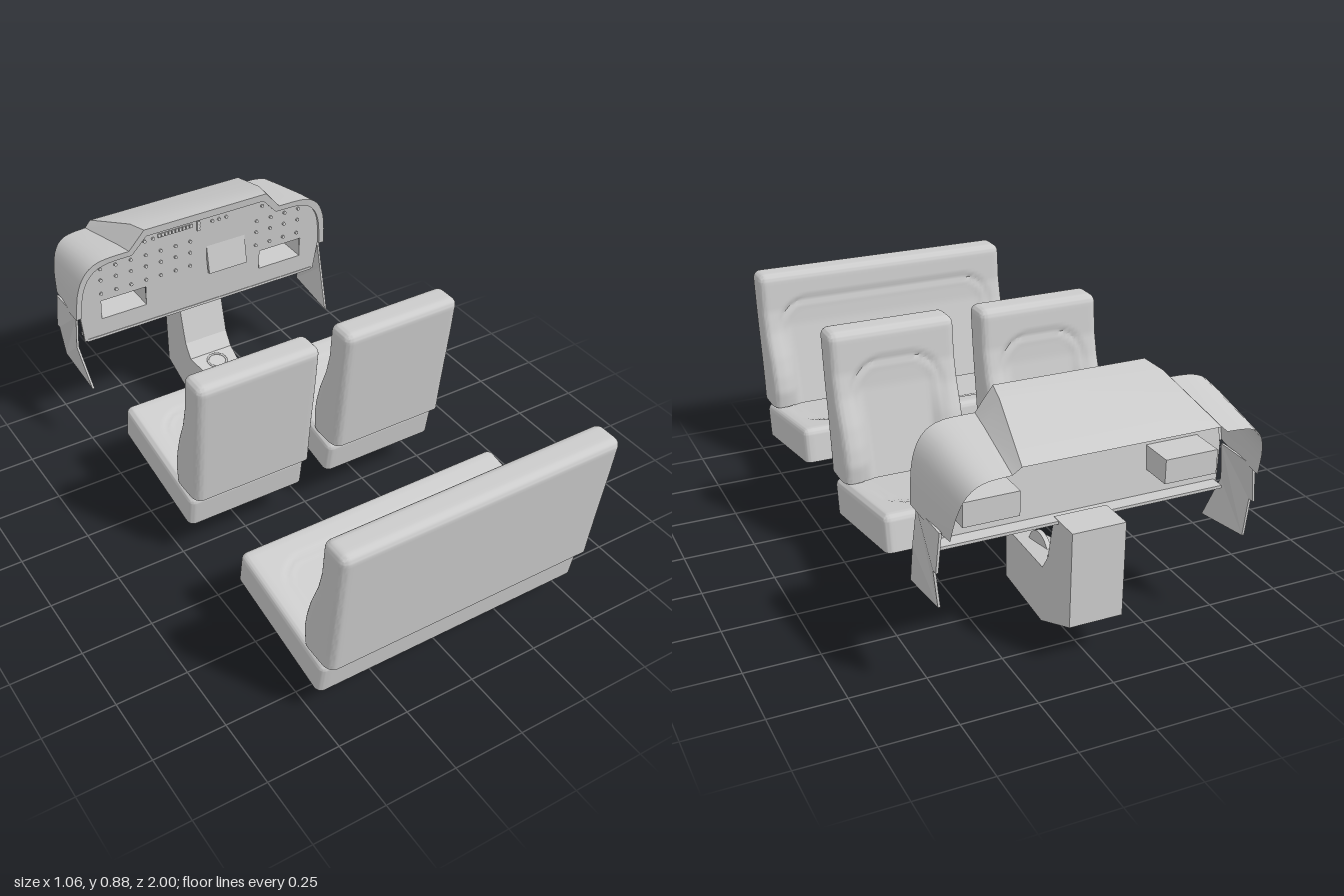
import * as THREE from 'three';
import { mergeVertices, toCreasedNormals } from 'three/addons/utils/BufferGeometryUtils.js';

const grey = new THREE.MeshStandardMaterial({ color: 0xcccccc });
const shell = new THREE.MeshStandardMaterial({ color: 0xcccccc, side: THREE.DoubleSide });
const { clamp, lerp } = THREE.MathUtils;

function add(parent, name, geo, mat = grey, x = 0, y = 0, z = 0) {
  const m = new THREE.Mesh(geo, mat);
  m.name = name;
  m.position.set(x, y, z);
  parent.add(m);
  return m;
}

// piecewise linear lookup in [[key, value], ...]
function table(t, k) {
  for (let i = 1; i < t.length; i++) {
    if (k <= t[i][0]) {
      const f = clamp((k - t[i - 1][0]) / (t[i][0] - t[i - 1][0]), 0, 1);
      return lerp(t[i - 1][1], t[i][1], f);
    }
  }
  return t[t.length - 1][1];
}

function moveVertices(geo, rule) {
  const p = geo.attributes.position, v = new THREE.Vector3();
  for (let i = 0; i < p.count; i++) {
    v.fromBufferAttribute(p, i);
    rule(v);
    p.setXYZ(i, v.x, v.y, v.z);
  }
  return geo;
}

// drop one side of a box (0 +x, 1 -x, 2 +y, 3 -y, 4 +z, 5 -z)
function dropSide(geo, side) {
  const g = geo.groups[side], idx = Array.from(geo.index.array);
  idx.splice(g.start, g.count);
  geo.setIndex(idx);
  geo.clearGroups();
  return geo;
}

// dense box rounded everywhere but its bottom rim, then shaped by a rule
function padded(w, h, d, r, rule, openBottom) {
  const size = [w, h, d], n = [Math.round(w * 64) + 12, 44, openBottom ? 44 : 12];
  let geo = new THREE.BoxGeometry(w, h, d, ...n);
  if (openBottom) dropSide(geo, 3);
  moveVertices(geo, v => {
    const p = v.toArray(), e = p.map((c, k) => {
      // four rows of vertices inside each rounded edge
      const i = Math.round((c / size[k] + 0.5) * n[k]), half = size[k] / 2;
      if (i <= 4) p[k] = -half + r * i / 4;
      else if (i >= n[k] - 4) p[k] = half - r * (n[k] - i) / 4;
      else p[k] = -half + r + (size[k] - 2 * r) * (i - 4) / (n[k] - 8);
      return p[k] - clamp(p[k], -half + (k === 1 ? 0 : r), half - r);
    });
    const len = Math.hypot(...e), max = Math.max(...e.map(Math.abs));
    if (len > 0) p.forEach((c, k) => { p[k] = c - e[k] + e[k] * max / len; });
    v.fromArray(p);
    rule(v);
  });
  geo.deleteAttribute('uv');
  geo.deleteAttribute('normal');
  geo = mergeVertices(geo, 1e-5);
  return toCreasedNormals(geo, 0.9);
}

// signed distance to a rounded rectangle, used for the sewn inserts
function insert(x, y, hx, hy, r) {
  const a = Math.abs(x) - hx + r, b = Math.abs(y) - hy + r;
  return Math.hypot(Math.max(a, 0), Math.max(b, 0)) + Math.min(Math.max(a, b), 0) - r;
}
const seam = s => 0.009 * Math.exp(-((s / 0.009) ** 2));

const BOLSTER = [[0, 0.78], [0.06, 0.775], [0.12, 0.787], [0.19, 0.81], [0.28, 0.85], [0.36, 0.873], [0.5, 0.888]];
const CENTRE = [[0, 0.795], [0.3, 0.868], [0.4, 0.881], [0.5, 0.888]];

function seat(name, w) {
  const g = new THREE.Group(), H = 0.498, D = 0.11;
  g.name = name;
  // backrest: leaning, with side bolsters around a sunken insert
  const back = padded(w, H, D, 0.028, v => {
    const h = v.y + H / 2, s = clamp(v.z / D + 0.5, 0, 1);
    const dist = insert(v.x, h, w / 2 - 0.075 + 0.03 * h, 0.39, 0.11);
    const m = THREE.MathUtils.smoothstep(-dist, -0.005, 0.04);
    const front = lerp(table(BOLSTER, h), Math.max(table(CENTRE, h), table(BOLSTER, h)), m) + seam(dist);
    const rear = lerp(0.936, 0.997, Math.min(1, h / 0.47));
    v.set(v.x, h + 0.267, lerp(front, rear, s));
  }, false);
  add(g, 'backrest', back);
  // cushion: hollow below, with a sewn insert on top
  const cushion = padded(w, 0.124, 0.495, 0.024, v => {
    if (v.y < 0.061) return;
    const dist = insert(v.x, v.z - 0.12, w / 2 - 0.085 + 0.07 * (v.z + 0.2), 0.27, 0.09);
    v.y -= 0.006 * THREE.MathUtils.smoothstep(-dist, 0, 0.03) + seam(dist) * 0.6;
  }, true);
  add(g, 'cushion', cushion, shell, 0, 0.227, 0.644).rotation.x = 0.177;
  return g;
}

// side profile given as [z, y], extruded across x
function sideProfile(pts, width) {
  const s = new THREE.Shape(pts.map(([z, y]) => new THREE.Vector2(-z, y)));
  const geo = new THREE.ExtrudeGeometry(s, { depth: width, bevelEnabled: false });
  return geo.translate(0, 0, -width / 2).rotateY(Math.PI / 2);
}

// surface through rows of points
function loft(rows) {
  const n = rows[0].length, idx = [];
  for (let i = 0; i < rows.length - 1; i++) for (let j = 0; j < n - 1; j++) {
    const a = i * n + j, b = a + n;
    idx.push(a, a + 1, b, b, a + 1, b + 1);
  }
  const geo = new THREE.BufferGeometry();
  geo.setAttribute('position', new THREE.Float32BufferAttribute(rows.flat(2), 3));
  geo.setIndex(idx);
  return toCreasedNormals(geo, 0.45);
}

// half outline mirrored to run from -x to +x
function outline(flat, curve) {
  const c = new THREE.SplineCurve(curve.map(p => new THREE.Vector2(...p))).getPoints(14).map(p => [p.x, p.y]);
  const half = [...flat, ...c];
  return [...half.slice().reverse().map(([x, y]) => [-x, y]), ...half];
}

const faceZ = y => -0.67 - (0.885 - y) * 0.12;

function dashboard() {
  const g = new THREE.Group();
  g.name = 'dashboard';
  const front = outline([[0.25, 0.887]], [[0.31, 0.815], [0.42, 0.81], [0.48, 0.775], [0.513, 0.7], [0.525, 0.58]]);
  const rear = outline([[0.315, 0.787]], [[0.34, 0.765], [0.42, 0.757], [0.465, 0.725], [0.49, 0.66], [0.5, 0.57]]);
  const inner = front.map(([x, y]) => [x * 0.96, 0.58 + (y - 0.58) * 0.9]);
  // hood: rim, front edge, knee and rear edge
  add(g, 'hood', loft([
    inner.map(([x, y]) => [x, y, faceZ(y) - 0.02]),
    inner.map(([x, y]) => [x, y, faceZ(y) - 0.002]),
    front.map(([x, y]) => [x, y, faceZ(y)]),
    front.map(([x, y], i) => [lerp(x, rear[i][0], 0.24), y - 0.01, faceZ(y) - 0.08]),
    rear.map(([x, y]) => [x, y, -1 + (0.787 - y) * 0.28]),
  ]), shell);

  // fascia with two pocket openings
  const s = new THREE.Shape([[-0.49, 0.46], ...inner, [0.49, 0.46]].map(p => new THREE.Vector2(...p)));
  for (const x of [-0.33, 0.33]) {
    s.holes.push(new THREE.Path([[-1, -1], [-1, 1], [1, 1], [1, -1]]
      .map(([a, b]) => new THREE.Vector2(x + a * 0.09, 0.585 + b * 0.04))));
    const pocket = dropSide(new THREE.BoxGeometry(0.18, 0.08, 0.12), 4);
    add(g, 'pocket', pocket, shell, x, 0.585, -0.78);
  }
  const fascia = new THREE.ExtrudeGeometry(s, { depth: 0.01, bevelEnabled: false });
  moveVertices(fascia, v => { v.z += faceZ(v.y) - 0.022; });
  fascia.computeVertexNormals();
  add(g, 'fascia', fascia);
  add(g, 'lowerShelf', new THREE.BoxGeometry(0.96, 0.01, 0.06), grey, 0, 0.463, -0.76);

  // controls, each placed on the sloping face
  const place = (name, geo, x, y) => {
    add(g, name, geo, grey, x, y, faceZ(y) - 0.01).rotation.x = -0.12;
  };
  const button = new THREE.BoxGeometry(0.011, 0.013, 0.01);
  const knob = new THREE.CylinderGeometry(0.006, 0.006, 0.012, 12).rotateX(Math.PI / 2);
  for (let i = 0; i < 10; i++) place('button', button, -0.186 + i * 0.0142, 0.838);
  for (const x of [-0.245, -0.21, 0.03, 0.058, 0.088, 0.24]) place('dial', knob, x, 0.832);
  for (let i = 0; i < 3; i++) place('switch', button, -0.027, 0.815 + i * 0.014);
  place('centrePanel', new THREE.BoxGeometry(0.16, 0.16, 0.012), 0.09, 0.69);
  for (const y of [0.66, 0.72, 0.77]) {
    for (let i = 0; i < 7; i++) place('knob', knob, -0.42 + i * 0.06, y);
    for (let i = 0; i < 4; i++) place('knob', knob, 0.22 + i * 0.06, y);
  }

  // kick panels, bent outward in the middle
  for (const side of [-1, 1]) {
    const kick = sideProfile([[-0.73, 0.58], [-0.725, 0.455], [-0.66, 0.3], [-0.88, 0.33],
      [-0.88, 0.455], [-0.9, 0.455], [-0.9, 0.58]], 0.008);
    moveVertices(kick, v => {
      v.x += side * table([[0.3, 0.507], [0.455, 0.524], [0.58, 0.512]], v.y);
    });
    kick.computeVertexNormals();
    add(g, 'kickPanel', kick);
  }
  return g;
}

function floorConsole() {
  const g = new THREE.Group();
  g.name = 'centreConsole';
  // body widens toward the dashboard
  const body = sideProfile([[-0.305, 0.005], [-0.305, 0.19], [-0.69, 0.258], [-0.725, 0.31],
    [-0.76, 0.47], [-0.88, 0.47], [-0.88, 0.15], [-0.69, 0.065]], 2);
  moveVertices(body, v => { v.x *= table([[-0.88, 0.09], [-0.69, 0.088], [-0.305, 0.028]], v.z); });
  body.computeVertexNormals();
  add(g, 'consoleBody', body);
  const gate = new THREE.CylinderGeometry(0.072, 0.072, 0.016, 32).rotateZ(Math.PI / 2);
  add(g, 'leverGate', gate, grey, 0, 0.195, -0.505);
  const cup = new THREE.TorusGeometry(0.036, 0.004, 8, 28).rotateX(Math.PI / 2 + 0.175);
  add(g, 'cupRing', cup, grey, 0, 0.251, -0.64);
  return g;
}

export function createModel() {
  const model = new THREE.Group();
  model.name = 'vehicleInterior';
  model.add(seat('rearBench', 0.996));
  for (const side of [-1, 1]) {
    const s = seat(side > 0 ? 'leftFrontSeat' : 'rightFrontSeat', 0.447);
    s.position.set(side * 0.273, 0.05, -0.815);
    model.add(s);
  }
  model.add(dashboard(), floorConsole());
  return model;
}
